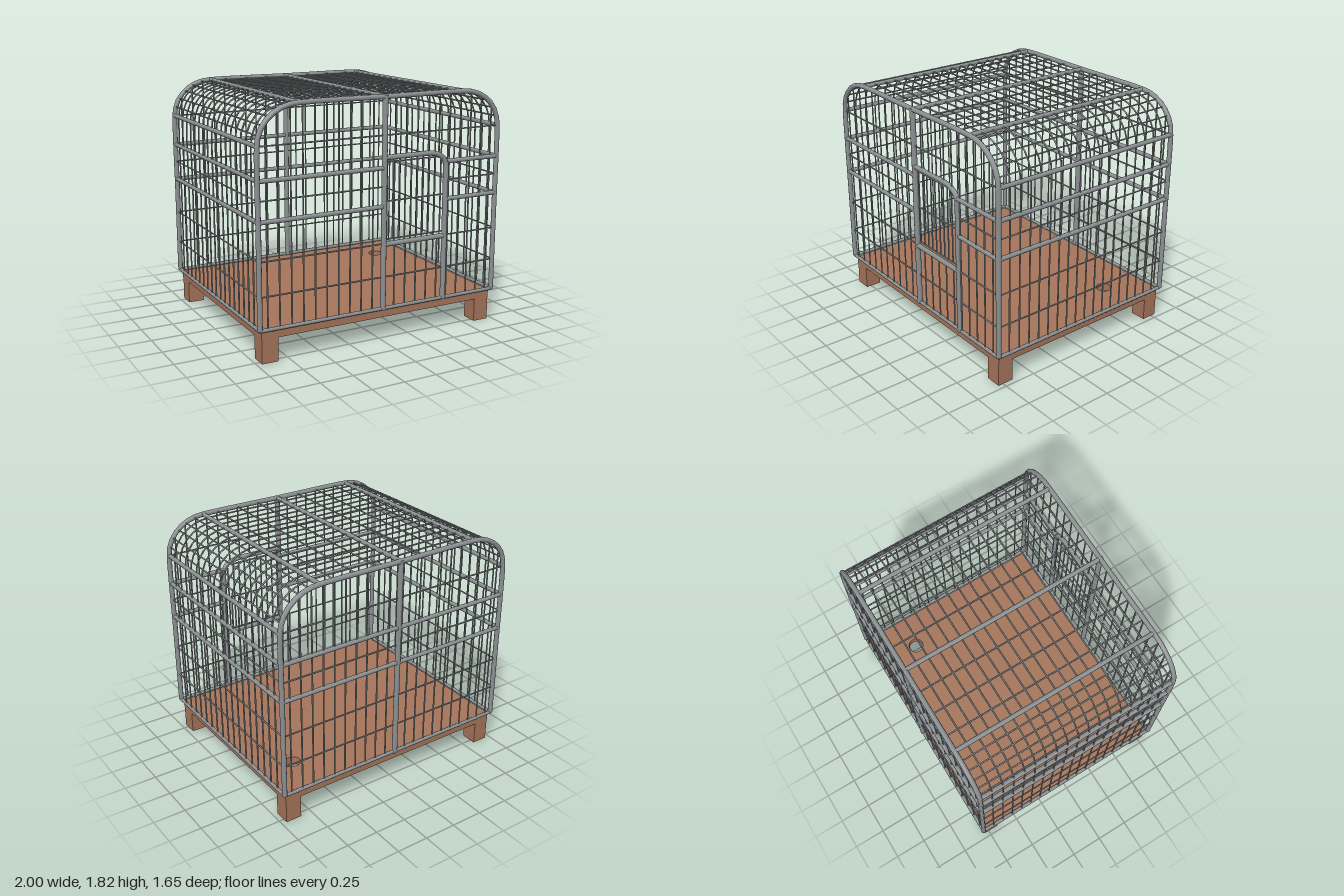
import * as THREE from 'three';

const metal = new THREE.MeshStandardMaterial({ color: 0x8b9092 });
metal.name = 'grey metal';
const wood = new THREE.MeshStandardMaterial({ color: 0xa5745a });
wood.name = 'brown wood';

const X = 0.98, Z = 0.803, BASE = 0.25, TOP = 1.802; // cage frame centre lines
const BEND_X = 0.67, BEND_Y = 1.53;                 // where the arch starts to curve
const RAIL = 0.017, WIRE = 0.006;
const V = (x, y, z) => new THREE.Vector3(x, y, z);

// Straight round bar between two points
function bar(parent, name, a, b, r, sides = 10) {
  const geo = new THREE.CylinderGeometry(r, r, a.distanceTo(b), sides);
  const mesh = new THREE.Mesh(geo, metal);
  mesh.name = name;
  mesh.position.copy(a).add(b).multiplyScalar(0.5);
  mesh.quaternion.setFromUnitVectors(V(0, 1, 0), b.clone().sub(a).normalize());
  parent.add(mesh);
}

// Bent bar through a list of points
function bentBar(parent, name, points, r, sides) {
  const path = new THREE.CurvePath();
  for (let i = 1; i < points.length; i++) path.add(new THREE.LineCurve3(points[i - 1], points[i]));
  const curve = new THREE.CatmullRomCurve3(points, false, 'centripetal');
  const mesh = new THREE.Mesh(new THREE.TubeGeometry(curve, 72, r, sides), metal);
  mesh.name = name;
  parent.add(mesh);
}

// Point on the rounded shoulder, t = 0 at the side wall and 1 at the roof
function shoulder(t, z, side = 1) {
  const a = t * Math.PI / 2;
  return V(side * (BEND_X + (X - BEND_X) * Math.cos(a)), BEND_Y + (TOP - BEND_Y) * Math.sin(a), z);
}

// Full arch outline from one foot to the other
function archPoints(z) {
  const pts = [V(-X, BASE, z), V(-X, 0.9, z)];
  for (let i = 0; i <= 7; i++) pts.push(shoulder(i / 7, z, -1));
  pts.push(V(0, TOP, z));
  for (let i = 7; i >= 0; i--) pts.push(shoulder(i / 7, z, 1));
  pts.push(V(X, 0.9, z), V(X, BASE, z));
  return pts;
}

// Height of the arch above a given x
function archY(x) {
  const d = Math.max(0, Math.abs(x) - BEND_X) / (X - BEND_X);
  return BEND_Y + (TOP - BEND_Y) * Math.sqrt(Math.max(0, 1 - d * d));
}

// Height of the door frame top above a given x
const doorTop = x => x < 0.37 ? 1.37 : 1.27 + 0.1 * Math.sqrt(Math.max(0, 1 - ((x - 0.37) / 0.155) ** 2));

function buildBase() {
  const g = new THREE.Group();
  g.name = 'base';
  // Floor board with a round drain hole (shape y becomes -z)
  const s = new THREE.Shape([[-0.965, -0.79], [0.965, -0.79], [0.965, 0.79], [-0.965, 0.79]]
    .map(p => new THREE.Vector2(...p)));
  const hole = new THREE.Path();
  hole.absarc(0.7, 0.47, 0.06, 0, Math.PI * 2, true);
  s.holes.push(hole);
  const geo = new THREE.ExtrudeGeometry(s, { depth: 0.063, bevelEnabled: false, curveSegments: 20 });
  geo.rotateX(-Math.PI / 2);
  const floor = new THREE.Mesh(geo, wood);
  floor.name = 'floorBoard';
  floor.position.y = 0.177;
  g.add(floor);
  for (const sx of [-1, 1]) for (const sz of [-1, 1]) {
    const leg = new THREE.Mesh(new THREE.BoxGeometry(0.125, 0.178, 0.125), wood);
    leg.name = 'leg';
    leg.position.set(sx * 0.9, 0.089, sz * 0.7275);
    g.add(leg);
  }
  return g;
}

function buildFrame() {
  const g = new THREE.Group();
  g.name = 'frame';
  for (const z of [-Z, Z]) {
    bentBar(g, 'endArch', archPoints(z), 0.019, 10);
    bar(g, 'bottomRail', V(-X, BASE, z), V(X, BASE, z), 0.014);
    bar(g, 'centrePost', V(0, 0.24, z), V(0, TOP + 0.01, z), 0.021);
    for (const y of [1.015, 1.297]) {
      if (z < 0) bar(g, 'backRail', V(-X, y, z), V(X, y, z), RAIL);
      else {
        bar(g, 'frontRail', V(-X, y, z), V(0, y, z), RAIL);
        bar(g, 'frontRail', V(0.53, y, z), V(X, y, z), RAIL);
      }
    }
  }
  for (const x of [-X, X]) {
    bar(g, 'bottomRail', V(x, BASE, -Z), V(x, BASE, Z), 0.014);
    for (const y of [1.015, 1.297, BEND_Y]) bar(g, 'sideRail', V(x, y, -Z), V(x, y, Z), RAIL);
  }
  for (const x of [-BEND_X, 0, BEND_X]) bar(g, 'roofRail', V(x, TOP, -Z), V(x, TOP, Z), RAIL);
  return g;
}

function buildWires() {
  const g = new THREE.Group();
  g.name = 'wires';
  // Hoops over the roof and down both sides
  for (let i = -8; i <= 8; i++) bentBar(g, 'hoopWire', archPoints(i * 0.0885), WIRE, 6);
  // Lengthwise wires on the roof, shoulders and sides
  for (const s of [-1, 1]) {
    const spots = [0.19, 0.37, 0.55].map(x => V(s * x, TOP, 0));
    for (let i = 1; i < 6; i++) spots.push(shoulder(i / 6, 0, s));
    for (const y of [0.49, 0.74, 1.16]) spots.push(V(s * X, y, 0));
    for (const p of spots) bar(g, 'lengthwiseWire', V(p.x, p.y, -Z), V(p.x, p.y, Z), WIRE, 6);
  }
  // Upright wires of the front and back, leaving the door opening free
  for (let i = -10; i <= 10; i++) {
    if (i === 0) continue;
    const x = i * 0.092, top = archY(x);
    bar(g, 'backWire', V(x, BASE, -Z), V(x, top, -Z), WIRE, 6);
    if (x > 0 && x < 0.52) {
      bar(g, 'frontWire', V(x, BASE, Z), V(x, 0.735, Z), WIRE, 6);
      bar(g, 'frontWire', V(x, doorTop(x), Z), V(x, top, Z), WIRE, 6);
    } else bar(g, 'frontWire', V(x, BASE, Z), V(x, top, Z), WIRE, 6);
  }
  // Cross wires of the front and back
  for (const y of [0.49, 0.74, 1.16, BEND_Y]) {
    bar(g, 'backCrossWire', V(-X, y, -Z), V(X, y, -Z), WIRE, 6);
    if (y > 0.6 && y < 1.4) {
      bar(g, 'frontCrossWire', V(-X, y, Z), V(0, y, Z), WIRE, 6);
      bar(g, 'frontCrossWire', V(0.525, y, Z), V(X, y, Z), WIRE, 6);
    } else bar(g, 'frontCrossWire', V(-X, y, Z), V(X, y, Z), WIRE, 6);
  }
  return g;
}

function buildDoor() {
  const g = new THREE.Group();
  g.name = 'door';
  // Surround
  bar(g, 'doorPost', V(0.525, 0.24, Z), V(0.525, 1.29, Z), 0.021);
  bar(g, 'doorSill', V(0, 0.735, Z), V(0.525, 0.735, Z), 0.019);
  const lintel = [V(0, 1.37, Z), V(0.2, 1.37, Z)];
  for (const x of [0.37, 0.42, 0.46, 0.5, 0.525]) lintel.push(V(x, doorTop(x), Z));
  bentBar(g, 'doorLintel', lintel, 0.019, 10);
  // Wire leaf just inside the surround
  const zl = Z - 0.012;
  for (let i = 0; i < 10; i++) {
    const x = 0.03 + i * 0.051;
    bar(g, 'doorWire', V(x, 0.765, zl), V(x, doorTop(x) - 0.025, zl), WIRE, 6);
  }
  for (const y of [0.768, 1.05, 1.335]) {
    bar(g, 'doorCrossWire', V(0.01, y, zl), V(y > 1.3 ? 0.44 : 0.51, y, zl), WIRE, 6);
  }
  return g;
}

export function createModel() {
  const model = new THREE.Group();
  model.name = 'wireCage';
  model.add(buildBase(), buildFrame(), buildWires(), buildDoor());
  return model;
}
